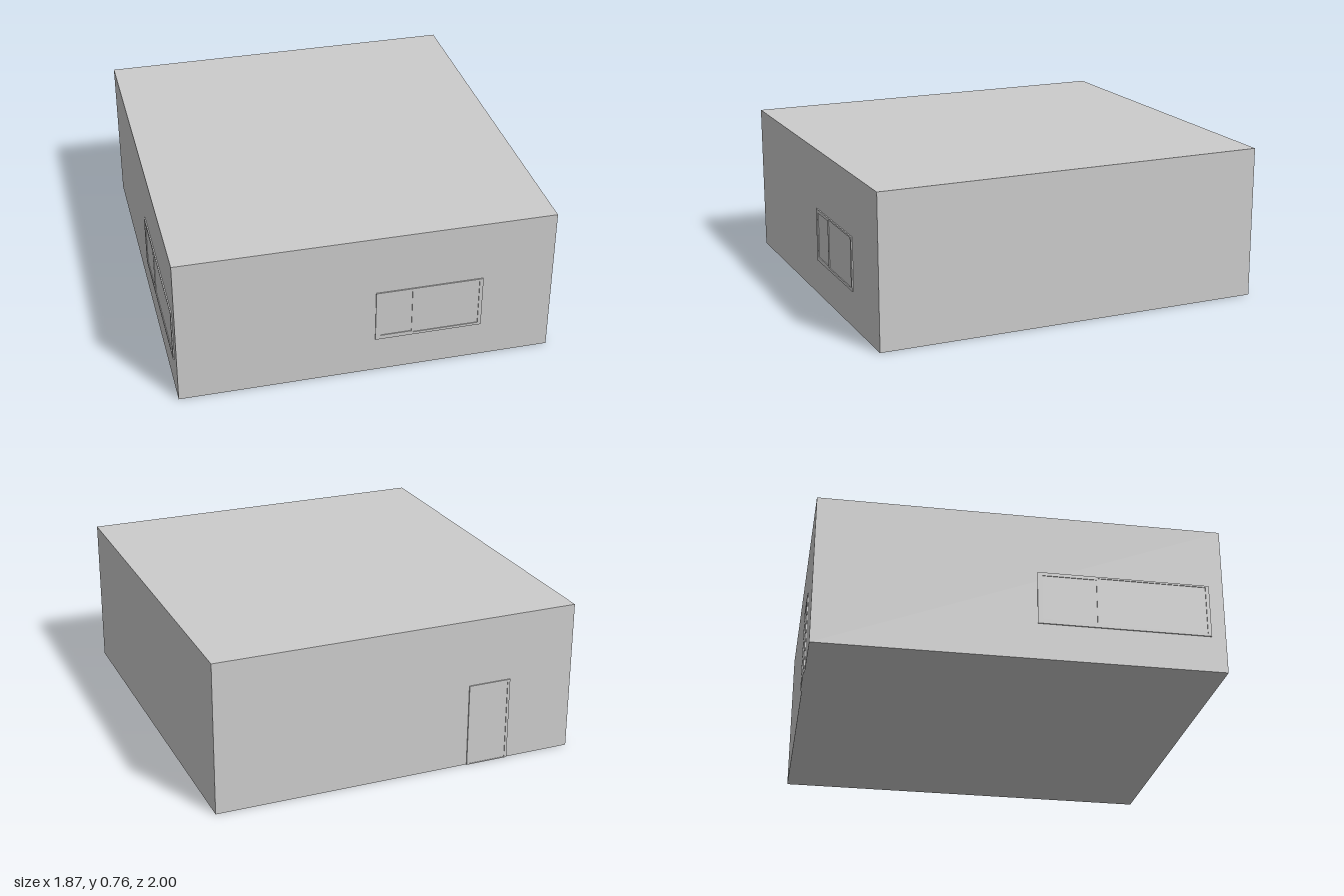
import * as THREE from 'three';

const W = 1.86, H = 0.765, D = 1.988; // building block
const OUT = 0.006;                    // how far the trim stands proud of the wall

export function createModel() {
  const model = new THREE.Group();
  model.name = 'building';
  const material = new THREE.MeshStandardMaterial({ color: 0xcccccc, flatShading: true });

  function add(parent, name, geometry) {
    const mesh = new THREE.Mesh(geometry, material);
    mesh.name = name;
    parent.add(mesh);
    return mesh;
  }

  // Rectangle path from its left, bottom, right and top edges
  function rectangle(Type, [l, b, r, t]) {
    return new Type([[l, b], [r, b], [r, t], [l, t]].map(([x, y]) => new THREE.Vector2(x, y)));
  }

  // Flat surround with rectangular openings, its back on z = 0
  function surround(outer, openings) {
    const shape = rectangle(THREE.Shape, outer);
    for (const o of openings) shape.holes.push(rectangle(THREE.Path, o));
    return new THREE.ExtrudeGeometry(shape, { depth: OUT, bevelEnabled: false });
  }

  // Thin panel standing on the wall plane z = 0
  function panel([l, b, r, t], depth) {
    return new THREE.BoxGeometry(r - l, t - b, depth).translate((l + r) / 2, (b + t) / 2, depth / 2);
  }

  // Window with a narrow casement beside a wide fixed pane, centred on x = 0
  function makeWindow(name, width) {
    const group = new THREE.Group();
    group.name = name;
    const h = width / 2, split = -h + width * 0.345;
    const small = [-h + 0.025, 0.207, split - 0.004, 0.44];
    const large = [split + 0.004, 0.199, h - 0.018, 0.448];
    add(group, 'windowFrame', surround([-h, 0.185, h, 0.457], [small, large]));
    add(group, 'casementPane', panel(small, 0.002));
    add(group, 'fixedPane', panel(large, 0.002));
    model.add(group);
    return group;
  }

  // Main block
  add(model, 'walls', new THREE.BoxGeometry(W, H, D)).position.y = H / 2;

  // Front window
  makeWindow('frontWindow', 0.535).position.set(0.307, 0, D / 2);

  // Side window on the -x wall
  const side = makeWindow('sideWindow', 0.85);
  side.position.set(-W / 2, 0, 0.497);
  side.rotation.y = -Math.PI / 2;

  // Back door
  const door = new THREE.Group();
  door.name = 'backDoor';
  const leaf = [-0.097, 0, 0.097, 0.413];
  add(door, 'doorFrame', surround([-0.11, 0, 0.11, 0.426], [[-0.097, 0.004, 0.097, 0.413]]));
  add(door, 'doorLeaf', panel(leaf, 0.003));
  door.position.set(-0.48, 0, -D / 2);
  door.rotation.y = Math.PI;
  model.add(door);

  return model;
}
